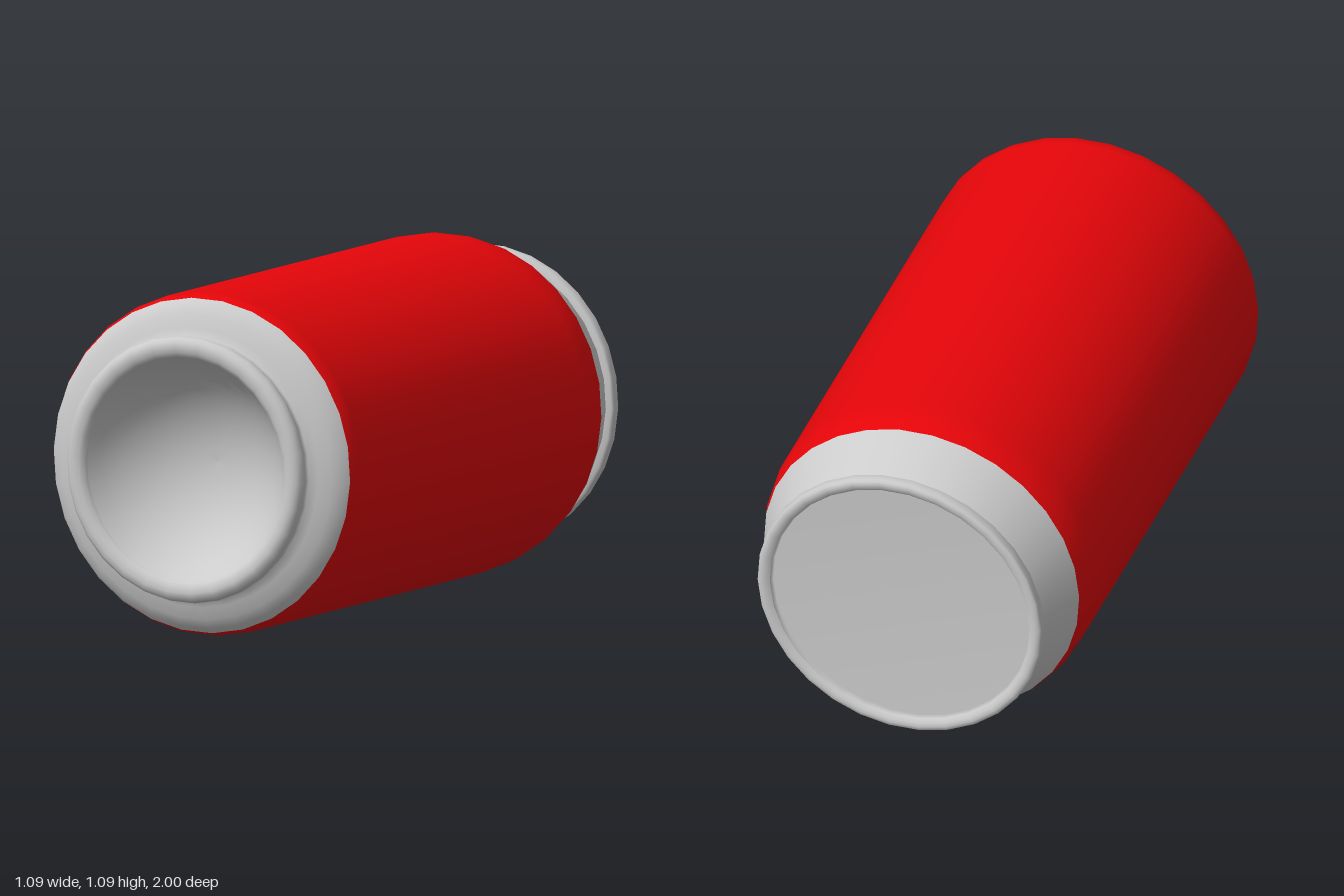
import * as THREE from 'three';

const SIDES = 30;
const AXIS_Y = 0.545;

// Turns a [radius, z] profile, listed from back to front, around the z axis.
function turned(name, profile, color) {
  const points = profile.map(([r, z]) => new THREE.Vector2(r, z));
  const geometry = new THREE.LatheGeometry(points, SIDES, 0.07, Math.PI * 2);
  geometry.rotateX(Math.PI / 2);
  const material = new THREE.MeshStandardMaterial({ color, side: THREE.DoubleSide });
  const mesh = new THREE.Mesh(geometry, material);
  mesh.name = name;
  mesh.position.y = AXIS_Y;
  return mesh;
}

// Spherical bowl profile from edge to centre, sinking towards -z.
function bowl(radius, edgeZ, depth, steps = 10) {
  const sphere = (radius * radius + depth * depth) / (2 * depth);
  const maxAngle = Math.asin(radius / sphere);
  return Array.from({ length: steps + 1 }, (_, i) => {
    const a = maxAngle * (1 - i / steps);
    return [sphere * Math.sin(a), edgeZ - depth + sphere * (1 - Math.cos(a))];
  });
}

export function createModel() {
  const can = new THREE.Group();
  can.name = 'drinkCan';
  const grey = 0xcccccc;

  // Painted wall
  can.add(turned('paintedBody', [
    [0.527, -0.785], [0.538, -0.745], [0.544, -0.7], [0.545, -0.66],
    [0.545, 0], [0.545, 0.82], [0.541, 0.85], [0.532, 0.87],
  ], 0xe60509));

  // Tapered neck
  can.add(turned('neck', [
    [0.446, -0.958], [0.455, -0.945], [0.49, -0.865], [0.527, -0.785],
  ], grey));

  // Rolled rim
  can.add(turned('rim', [
    [0.434, -0.99], [0.445, -0.998], [0.458, -1], [0.47, -0.998],
    [0.475, -0.99], [0.475, -0.966], [0.468, -0.958], [0.446, -0.955],
  ], grey));

  // Slightly recessed flat lid, softly shaded into the rim
  can.add(turned('lid', [[0, -0.972], [0.428, -0.972], [0.434, -0.99]], grey));

  // Shoulder, groove and standing ring at the front
  can.add(turned('baseRing', [
    [0.532, 0.87], [0.515, 0.89], [0.485, 0.908], [0.445, 0.921],
    [0.417, 0.93], [0.412, 0.942], [0.42, 0.955], [0.425, 0.97],
    [0.42, 0.986], [0.408, 0.997], [0.392, 1], [0.374, 0.997],
    [0.36, 0.988], [0.355, 0.975],
  ], grey));

  // Domed base pushed into the can
  can.add(turned('baseDome', bowl(0.355, 0.975, 0.21), grey));

  return can;
}
